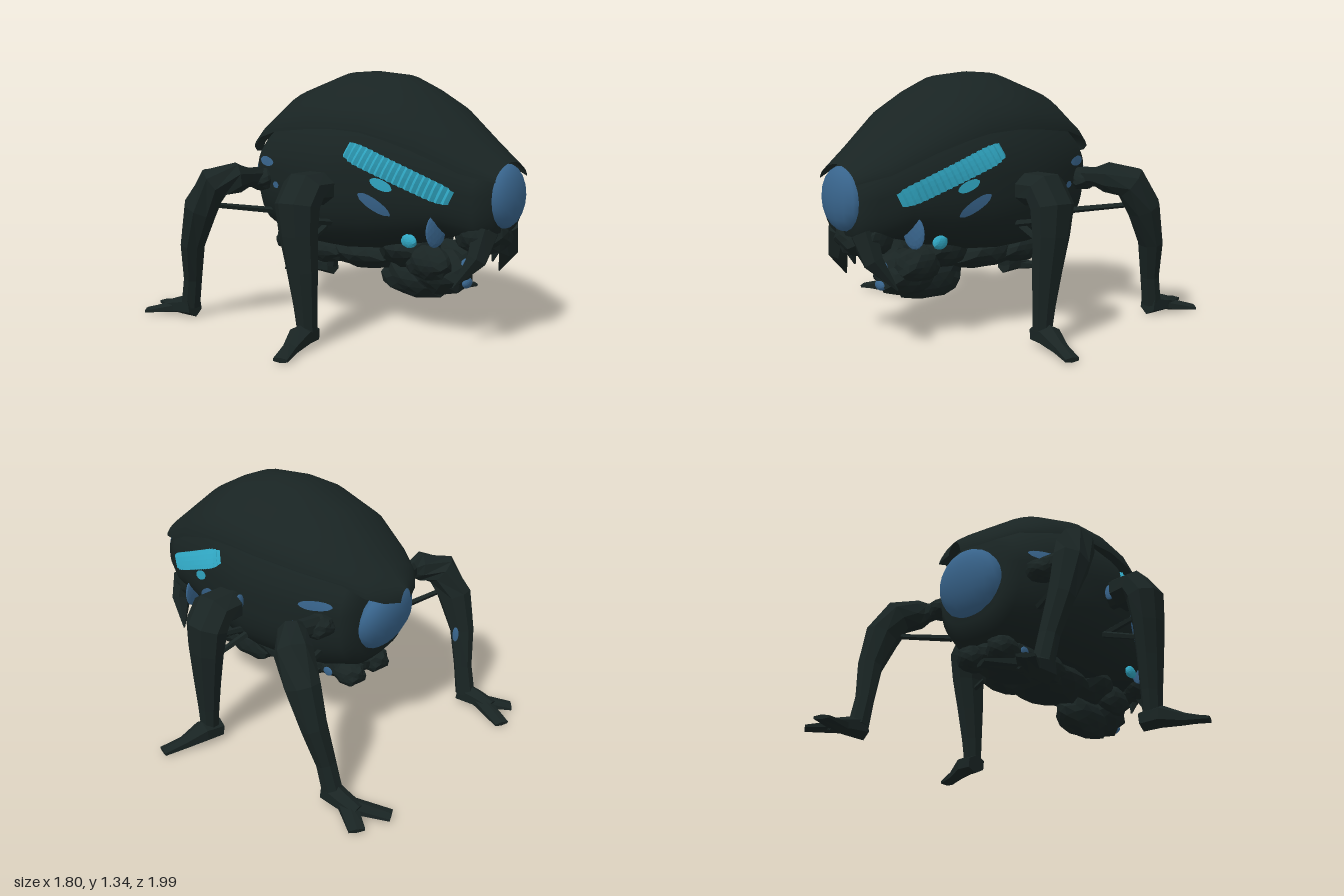
import * as THREE from 'three';

const mat = (name, color) => Object.assign(
  new THREE.MeshStandardMaterial({ color, side: THREE.DoubleSide }), { name });

// Skin a list of rings (arrays of Vector3) into one surface
function loft(rings, { closed = true, flat = false } = {}) {
  const n = rings[0].length, pos = [], idx = [];
  rings.forEach(r => r.forEach(p => pos.push(p.x, p.y, p.z)));
  for (let i = 0; i < rings.length - 1; i++) {
    for (let j = 0; j < (closed ? n : n - 1); j++) {
      const a = i * n + j, b = i * n + (j + 1) % n;
      idx.push(a, b, a + n, b, b + n, a + n);
    }
  }
  let g = new THREE.BufferGeometry();
  g.setAttribute('position', new THREE.Float32BufferAttribute(pos, 3));
  g.setIndex(idx);
  if (flat) g = g.toNonIndexed();
  g.computeVertexNormals();
  return g;
}

// Limb through points [x, y, z, radiusU, radiusV], with closed ends
function limb(pts, ref, sides = 8) {
  const P = pts.map(p => new THREE.Vector3(p[0], p[1], p[2]));
  const grow = 1 / Math.cos(Math.PI / sides);
  const rings = P.map((p, i) => {
    const T = P[Math.min(i + 1, P.length - 1)].clone().sub(P[Math.max(i - 1, 0)]).normalize();
    const U = new THREE.Vector3().crossVectors(ref, T).normalize();
    const V = new THREE.Vector3().crossVectors(T, U);
    return Array.from({ length: sides }, (_, j) => {
      const t = (j + 0.5) / sides * Math.PI * 2;
      return p.clone().addScaledVector(U, Math.cos(t) * pts[i][3] * grow)
        .addScaledVector(V, Math.sin(t) * pts[i][4] * grow);
    });
  });
  const cap = p => Array.from({ length: sides }, () => p.clone());
  return loft([cap(P[0]), ...rings, cap(P[P.length - 1])], { flat: true });
}

// Body stations: z, half width, top, widest height, bottom
const BODY = [
  [-0.51, 0.225, 0.98, 0.80, 0.53], [-0.45, 0.28, 1.03, 0.80, 0.46],
  [-0.30, 0.355, 1.14, 0.82, 0.42], [-0.10, 0.41, 1.23, 0.83, 0.40], [0.10, 0.425, 1.26, 0.83, 0.40],
  [0.30, 0.405, 1.25, 0.85, 0.42], [0.50, 0.345, 1.17, 0.83, 0.47], [0.70, 0.28, 1.06, 0.80, 0.53],
  [0.85, 0.205, 0.95, 0.76, 0.50], [0.93, 0.165, 0.89, 0.75, 0.57]];
const BELOW = 2.7; // squareness of the lower half of the body

// Shell stations: z, half width, top, rim height
const SHELL = [
  [-0.645, 0.04, 0.925, 0.86], [-0.61, 0.13, 0.96, 0.875], [-0.55, 0.21, 1.01, 0.91], [-0.45, 0.265, 1.085, 0.97],
  [-0.25, 0.365, 1.235, 1.02], [0, 0.41, 1.325, 1.05], [0.15, 0.415, 1.335, 1.06], [0.33, 0.40, 1.32, 1.05],
  [0.45, 0.375, 1.27, 1.02], [0.60, 0.335, 1.19, 0.97], [0.80, 0.24, 1.035, 0.87], [0.95, 0.16, 0.915, 0.83]];

// Body half width at a given z and y
function bodyX(z, y) {
  let i = 0;
  while (i < BODY.length - 2 && BODY[i + 1][0] < z) i++;
  const f = (z - BODY[i][0]) / (BODY[i + 1][0] - BODY[i][0]);
  const [w, top, mid, bot] = [1, 2, 3, 4].map(k => THREE.MathUtils.lerp(BODY[i][k], BODY[i + 1][k], f));
  const up = y > mid, e = up ? 2 : BELOW;
  const d = up ? (y - mid) / (top - mid) : (mid - y) / (mid - bot);
  return w * Math.max(0, 1 - d ** e) ** (1 / e);
}

// Thin plate lying on the flank; ridge makes it corrugated
function flankPlate(s, z0, y0, len, high, tilt, ridge = 0) {
  const rings = [], n = ridge ? 36 : 10;
  for (let i = 0; i <= n; i++) {
    const u = i / n * 2 - 1, ring = [];
    const h = ridge ? high * (1 - 0.35 * u ** 8) : high * Math.sqrt(1 - u * u * 0.98);
    for (let j = 0; j <= 4; j++) {
      const v = (j / 2 - 1) * h;
      const z = z0 + u * len * Math.cos(tilt) + v * Math.sin(tilt);
      const y = y0 - u * len * Math.sin(tilt) + v * Math.cos(tilt);
      ring.push(new THREE.Vector3(s * (bodyX(z, y) + 0.009 + (i % 2) * ridge), y, z));
    }
    rings.push(ring);
  }
  return loft(rings, { closed: false, flat: ridge > 0 });
}

// Faceted, uneven ellipsoid
function lump(rx, ry, rz, rough = 0.1) {
  const g = new THREE.IcosahedronGeometry(1, 2), p = g.attributes.position;
  for (let i = 0; i < p.count; i++) {
    const [x, y, z] = [p.getX(i), p.getY(i), p.getZ(i)];
    const k = 1 + rough * Math.sin(x * 5.1 + z * 3) * Math.cos(y * 4.3 + z * 5.7);
    p.setXYZ(i, x * rx * k, y * ry * k, z * rz * k);
  }
  g.computeVertexNormals();
  return g;
}

export function createModel() {
  const model = new THREE.Group();
  const dark = mat('dark armour', 0x192423);
  const blue = mat('blue glass', 0x38648c);
  const cyan = mat('cyan glow', 0x30a6c2);
  const Y = new THREE.Vector3(0, 1, 0), Z = new THREE.Vector3(0, 0, 1);
  const add = (name, geo, material, x = 0, y = 0, z = 0) => {
    const m = new THREE.Mesh(geo, material);
    m.name = name;
    m.position.set(x, y, z);
    model.add(m);
    return m;
  };

  // Body: elliptical above, squarer below
  const bodyRings = BODY.map(([z, w, top, mid, bot]) => Array.from({ length: 36 }, (_, j) => {
    const t = j / 36 * Math.PI * 2, c = Math.cos(t), sn = Math.sin(t), e = sn > 0 ? 1 : 2 / BELOW;
    return new THREE.Vector3(w * Math.sign(c) * Math.abs(c) ** e,
      mid + Math.sign(sn) * Math.abs(sn) ** e * (sn > 0 ? top - mid : mid - bot), z);
  }));
  const cap = ([z, , , mid]) => Array.from({ length: 36 }, () => new THREE.Vector3(0, mid, z));
  add('body', loft([cap(BODY[0]), ...bodyRings, cap(BODY[BODY.length - 1])]), dark);

  // Domed shell with a rim overhanging the flanks
  add('shell', loft(SHELL.map(([z, w, top, rim]) => Array.from({ length: 19 }, (_, j) => {
    const t = j / 18 * Math.PI, c = Math.cos(t);
    return new THREE.Vector3(w * Math.sign(c) * Math.abs(c) ** 1.15,
      rim + (top - rim) * Math.abs(Math.sin(t)) ** 1.15, z);
  })), { closed: false }), dark);

  // Front lens and rear window
  add('frontLens', new THREE.SphereGeometry(0.16, 14, 10), blue, 0, 0.745, 0.92).scale.z = 0.48;
  const rear = add('rearWindow', new THREE.SphereGeometry(1, 16, 12), blue, 0, 0.73, -0.515);
  rear.scale.set(0.205, 0.185, 0.095);
  rear.rotation.x = -0.25;

  // Chin, jaw and underside
  [['chin', 0, 0.55, 0.85, 0.14, 0.1, 0.09], ['jaw', 0, 0.32, 0.56, 0.13, 0.12, 0.17],
    ['jawBase', 0, 0.27, 0.42, 0.10, 0.11, 0.22], ['throat', 0, 0.44, 0.38, 0.2, 0.12, 0.16],
    ['belly', 0, 0.38, 0.1, 0.2, 0.1, 0.24], ['rearBelly', 0, 0.4, -0.22, 0.17, 0.1, 0.2],
  ].forEach(([name, x, y, z, a, b, c]) => add(name, lump(a, b, c), dark, x, y, z));
  [[0.375, 0.045, 0.03, 0.705], [0.28, 0.04, 0.028, 0.715]].forEach(([y, w, h, z]) =>
    add('jawLight', lump(w, h, 0.02, 0.02), blue, 0, y, z));

  // Small glass panel on the inside of one rear leg
  add('legGlass', lump(0.008, 0.05, 0.02, 0), blue, -0.58, 0.41, -0.6);

  for (const s of [1, -1]) {
    const path = pts => pts.map(([x, ...r]) => [s * x, ...r]);

    // Underside pods and cheek armour
    add('jawPod', lump(0.08, 0.09, 0.13), dark, s * 0.1, 0.38, 0.55);
    add('bellyPod', lump(0.09, 0.08, 0.15), dark, s * 0.13, 0.38, -0.1);
    add('tailPod', lump(0.08, 0.07, 0.09), dark, s * 0.1, 0.39, -0.38);
    add('cheek', lump(0.08, 0.09, 0.1), dark, s * 0.11, 0.56, 0.82);

    // Tusks and teeth
    add('tusk', limb(path([[0.1, 0.58, 0.87, 0.07, 0.06], [0.16, 0.45, 0.86, 0.05, 0.045],
      [0.23, 0.31, 0.77, 0.004, 0.004]]), Z, 6), dark);
    add('tooth', limb(path([[0.06, 0.54, 0.87, 0.04, 0.04], [0.05, 0.40, 0.83, 0.004, 0.004]]), Z, 5), dark);

    // Glowing vents and glass patches on the flank
    add('sideVent', flankPlate(s, 0.51, 0.86, 0.28, 0.05, 0.40, 0.012), cyan);
    add('lowerVent', lump(0.02, 0.035, 0.045, 0.05), cyan, s * 0.255, 0.515, 0.53);
    add('upperVent', flankPlate(s, 0.44, 0.80, 0.058, 0.026, 0.4), cyan);
    [[0.40, 0.70, 0.09, 0.03, 0.6], [-0.34, 0.855, 0.08, 0.025, 0], [-0.24, 0.74, 0.025, 0.018, 0],
    ].forEach(p => add('flankGlass', flankPlate(s, ...p), blue));
    add('tailGlass', lump(0.008, 0.025, 0.03, 0), blue, s * 0.17, 0.39, -0.29);

    // Forward-facing glass beside the chin
    add('cheekGlass', lump(0.07, 0.085, 0.014, 0.02), blue, s * 0.23, 0.58, 0.67).rotation.y = s * 0.2;

    // Front leg and foot
    add('frontLeg', limb(path([[0.36, 0.76, 0.13, 0.05, 0.05], [0.46, 0.77, 0.13, 0.055, 0.05],
      [0.48, 0.77, 0.13, 0.08, 0.11], [0.58, 0.775, 0.13, 0.085, 0.115], [0.63, 0.70, 0.13, 0.085, 0.115],
      [0.635, 0.56, 0.14, 0.07, 0.10], [0.625, 0.38, 0.155, 0.06, 0.08], [0.615, 0.2, 0.165, 0.05, 0.06],
      [0.61, 0.08, 0.17, 0.045, 0.05]]), Z), dark);
    add('shoulderGlass', lump(0.03, 0.045, 0.012, 0), blue, s * 0.445, 0.78, 0.076);
    add('frontFoot', limb(path([[0.56, 0.05, 0.15, 0.05, 0.045], [0.66, 0.06, 0.17, 0.055, 0.05],
      [0.77, 0.03, 0.2, 0.035, 0.028], [0.885, 0.015, 0.24, 0.036, 0.012]]), Y, 6), dark);

    // Rear hip, leg and forked foot
    add('rearHip', lump(0.09, 0.06, 0.075), dark, s * 0.34, 0.755, -0.37);
    add('rearLeg', limb(path([[0.36, 0.77, -0.37, 0.05, 0.04], [0.47, 0.78, -0.355, 0.05, 0.035],
      [0.53, 0.785, -0.365, 0.075, 0.07], [0.62, 0.76, -0.45, 0.085, 0.09], [0.65, 0.62, -0.53, 0.08, 0.09],
      [0.645, 0.42, -0.60, 0.065, 0.06], [0.61, 0.22, -0.645, 0.05, 0.045],
      [0.60, 0.06, -0.68, 0.05, 0.05]]), Z), dark);
    add('rearFoot', limb(path([[0.60, 0.06, -0.65, 0.05, 0.055], [0.61, 0.045, -0.76, 0.045, 0.04],
      [0.61, 0.03, -0.85, 0.04, 0.025]]), Y, 6), dark);
    for (const [x, z] of [[0.515, -0.975], [0.71, -0.92]]) {
      add('rearToe', limb(path([[0.61, 0.035, -0.78, 0.045, 0.03], [x, 0.012, z, 0.04, 0.01]]), Y, 6), dark);
    }

    // Thin struts bracing the legs
    [[0.38, 0.58, 0.13, 0.62, 0.63, 0.13], [0.38, 0.56, 0.1, 0.61, 0.49, 0.14],
      [0.30, 0.58, -0.34, 0.62, 0.64, -0.47],
    ].forEach(([a, b, c, d, e, f]) =>
      add('strut', limb(path([[a, b, c, 0.015, 0.015], [d, e, f, 0.012, 0.012]]), Z, 5), dark));
  }
  return model;
}
